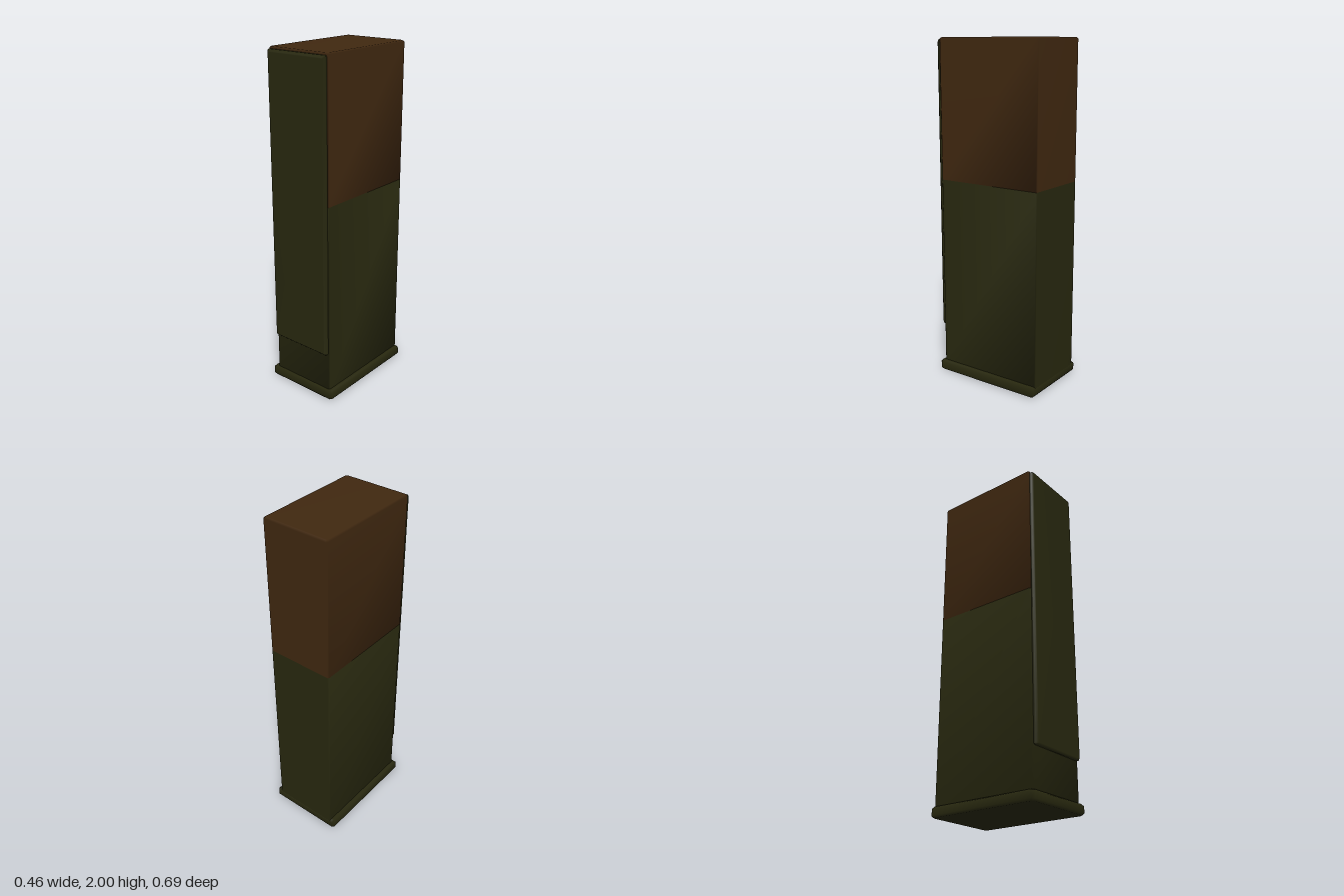
import * as THREE from 'three';

// Block with cut corners, lofted through [height, inset] sections along y.
function chamferedBlock(width, depth, corner, sections) {
  const positions = [], index = [];
  for (const [y, inset] of sections) {
    const w = width / 2 - inset, d = depth / 2 - inset, c = corner;
    const ring = [
      [w, -d + c], [w, d - c], [w - c, d], [-w + c, d],
      [-w, d - c], [-w, -d + c], [-w + c, -d], [w - c, -d],
    ];
    for (const [x, z] of ring) positions.push(x, y, z);
  }
  const last = (sections.length - 1) * 8;
  for (let s = 0; s < last; s += 8) {
    for (let i = 0; i < 8; i++) {
      const j = (i + 1) % 8;
      index.push(s + i, s + 8 + i, s + j, s + j, s + 8 + i, s + 8 + j);
    }
  }
  // End caps
  for (let i = 1; i < 7; i++) {
    index.push(0, i, i + 1, last, last + i + 1, last + i);
  }
  const geometry = new THREE.BufferGeometry();
  geometry.setAttribute('position', new THREE.Float32BufferAttribute(positions, 3));
  geometry.setIndex(index);
  geometry.computeVertexNormals();
  return geometry;
}

export function createModel() {
  const model = new THREE.Group();
  model.name = 'tower';

  const green = new THREE.MeshStandardMaterial({ color: 0x28280f });
  green.name = 'dark olive';
  const brown = new THREE.MeshStandardMaterial({ color: 0x402810 });
  brown.name = 'dark brown';

  const add = (name, geometry, material, y, z) => {
    const mesh = new THREE.Mesh(geometry, material);
    mesh.name = name;
    mesh.position.set(0, y, z);
    model.add(mesh);
  };

  // Plinth with bevelled rim
  add('base', chamferedBlock(0.464, 0.684, 0.011,
    [[0, 0.01], [0.012, 0], [0.048, 0], [0.06, 0.01]]), green, 0, -0.003);

  // Two-tone cabinet
  add('lowerCabinet', chamferedBlock(0.41, 0.664, 0.007,
    [[0.04, 0], [1.19, 0]]), green, 0, -0.011);
  add('upperCabinet', chamferedBlock(0.41, 0.664, 0.007,
    [[1.19, 0], [1.992, 0], [2, 0.008]]), brown, 0, -0.011);

  // Raised front panel, lofted forwards
  const panel = chamferedBlock(0.396, 1.698, 0.006,
    [[0, 0], [0.018, 0], [0.029, 0.01]]);
  panel.rotateX(Math.PI / 2);
  add('frontPanel', panel, green, 1.139, 0.316);

  return model;
}
